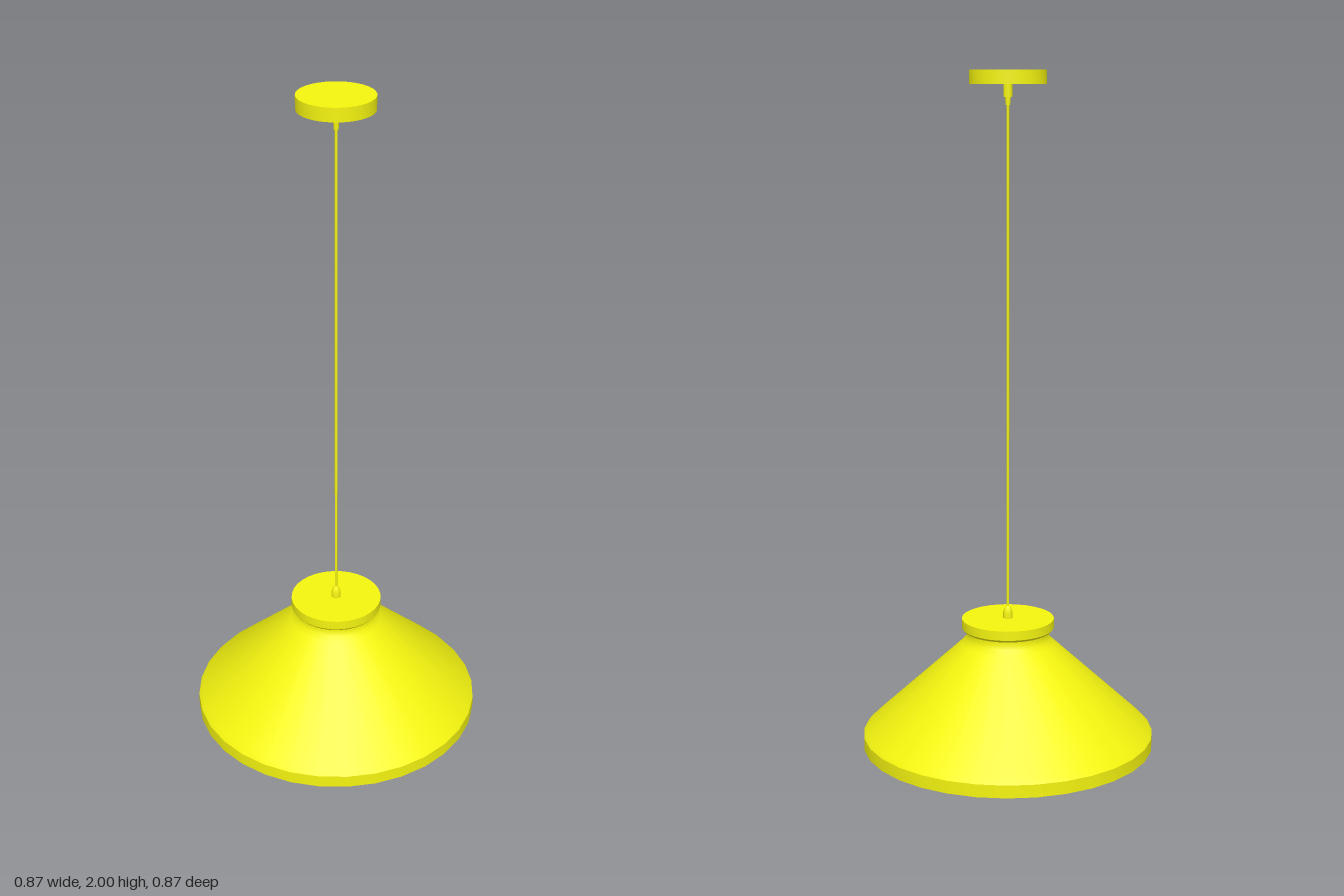
import * as THREE from 'three';
import { toCreasedNormals } from 'three/addons/utils/BufferGeometryUtils.js';

const material = new THREE.MeshStandardMaterial({ color: 0xf5f510, side: THREE.DoubleSide });

// Turned part from [radius, height] pairs, listed bottom to top along the outside
function turned(name, profile, segments = 32) {
  const points = profile.map(([r, y]) => new THREE.Vector2(r, y));
  const geometry = toCreasedNormals(new THREE.LatheGeometry(points, segments), 0.5);
  const mesh = new THREE.Mesh(geometry, material);
  mesh.name = name;
  return mesh;
}

export function createModel() {
  const group = new THREE.Group();
  group.name = 'pendantLamp';

  // Thin conical shade: inside from the crown down, round the rim, then up the outside
  group.add(turned('shade', [
    [0, 0.345], [0.112, 0.345], [0.116, 0.328], [0.13, 0.312], [0.429, 0.036], [0.429, 0],
    [0.436, 0], [0.436, 0.038], [0.425, 0.051], [0.139, 0.315],
    [0.126, 0.329], [0.122, 0.342], [0.122, 0.352],
  ]));

  // Cap disc on the neck, with a softened lower edge
  group.add(turned('shadeCap', [
    [0, 0.352], [0.122, 0.352], [0.132, 0.355], [0.138, 0.362], [0.138, 0.39], [0, 0.39],
  ]));

  // Cord grip where the cord enters the shade
  group.add(turned('lowerCordGrip', [
    [0.014, 0.39], [0.014, 0.408], [0.011, 0.42], [0.006, 0.428], [0, 0.428],
  ], 16));

  group.add(turned('cord', [[0.004, 0.42], [0.004, 1.92]], 12));

  // Stepped grip under the ceiling canopy
  group.add(turned('upperCordGrip', [
    [0, 1.902], [0.007, 1.902], [0.008, 1.925], [0.013, 1.925], [0.013, 1.96],
  ], 16));

  group.add(turned('ceilingCanopy', [
    [0, 1.96], [0.11, 1.96], [0.11, 2], [0, 2],
  ]));

  return group;
}
